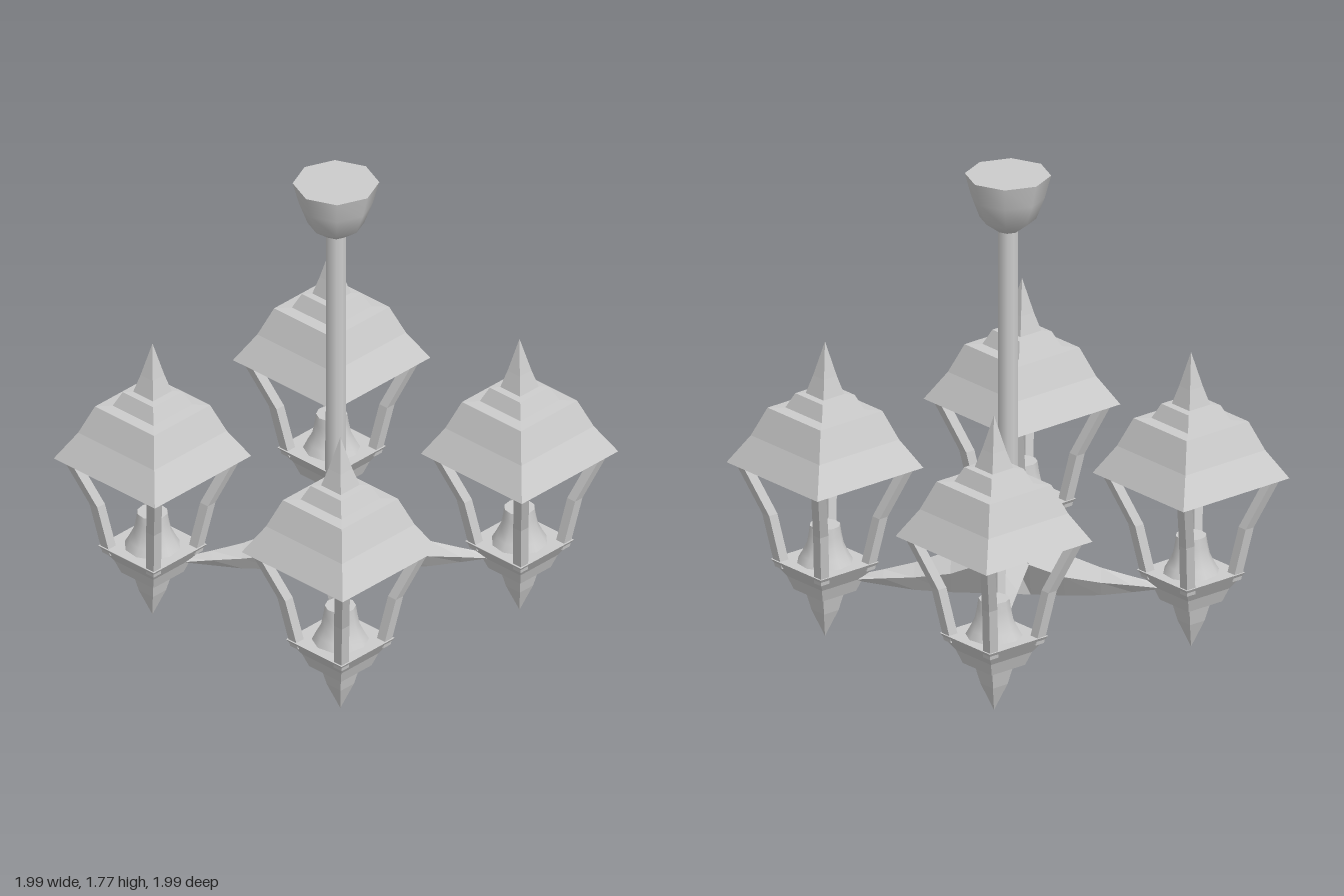
import * as THREE from 'three';
import { toCreasedNormals } from 'three/addons/utils/BufferGeometryUtils.js';

const flat = new THREE.MeshStandardMaterial({ color: 0xcccccc, flatShading: true });
const smooth = new THREE.MeshStandardMaterial({ color: 0xcccccc });

function named(geometry, name, material = flat) {
  const mesh = new THREE.Mesh(geometry, material);
  mesh.name = name;
  return mesh;
}

// Profile of [radius, y] pairs, listed from bottom to top
function turned(profile, sides) {
  return new THREE.LatheGeometry(profile.map(([r, y]) => new THREE.Vector2(r, y)), sides);
}

const rounded = (profile, sides) => toCreasedNormals(turned(profile, sides), 0.85);

// Diamond-section strut that leans outwards along +x, bent in the middle
function strutGeometry() {
  const path = [[0.15, 0.26], [0.195, 0.46], [0.3, 0.67]];
  const geo = new THREE.CylinderGeometry(0.027, 0.027, 2, 4, 2);
  const pos = geo.attributes.position;
  for (let i = 0; i < pos.count; i++) {
    const [x, y] = path[Math.round(pos.getY(i)) + 1];
    pos.setX(i, pos.getX(i) + x);
    pos.setY(i, y);
  }
  return geo;
}

// Tapering arm along +x; the four arms meet in a peaked hub
function armGeometry() {
  // distance from centre, ridge y, side edge y, half width, underside y
  const sections = [
    [0, 0.53, 0.35, 0, 0.18],
    [0.08, 0.435, 0.325, 0.08, 0.18],
    [0.2, 0.34, 0.27, 0.05, 0.18],
    [0.33, 0.29, 0.245, 0.032, 0.185],
    [0.44, 0.26, 0.235, 0.024, 0.2],
    [0.54, 0.235, 0.225, 0.018, 0.215],
  ];
  const points = [], index = [];
  for (const [x, top, side, w, low] of sections) {
    points.push(x, top, 0, x, side, w, x, low, 0, x, side, -w);
  }
  for (let s = 0; s < sections.length - 1; s++) {
    for (let k = 0; k < 4; k++) {
      const a = s * 4 + k, b = s * 4 + (k + 1) % 4;
      index.push(a, b, b + 4, a, b + 4, a + 4);
    }
  }
  const e = (sections.length - 1) * 4;
  index.push(e, e + 1, e + 2, e, e + 2, e + 3);
  const geo = new THREE.BufferGeometry();
  geo.setAttribute('position', new THREE.Float32BufferAttribute(points, 3));
  geo.setIndex(index);
  geo.computeVertexNormals();
  return geo;
}

function createLantern() {
  const lantern = new THREE.Group();
  lantern.name = 'lantern';
  // Flared roof with stepped cap and spire
  lantern.add(named(turned([
    [0, 0.65], [0.348, 0.65], [0.262, 0.755], [0.203, 0.862],
    [0.14, 0.865], [0.105, 0.92], [0.068, 0.922], [0.042, 0.99], [0, 1.12],
  ], 4), 'roof'));
  // Tray and hanging point
  lantern.add(named(turned([
    [0, 0.175], [0.11, 0.175], [0.135, 0.225], [0.192, 0.287], [0, 0.287],
  ], 4), 'tray'));
  lantern.add(named(turned([[0, 0], [0.048, 0.1], [0.072, 0.18], [0, 0.18]], 4), 'pendant'));
  // Bell-shaped lamp holder
  lantern.add(named(rounded([
    [0.105, 0.28], [0.085, 0.315], [0.068, 0.35], [0.06, 0.39], [0.055, 0.425], [0, 0.425],
  ], 10), 'lampHolder', smooth));
  const strut = strutGeometry();
  for (let i = 0; i < 4; i++) {
    const mesh = named(strut, 'strut');
    mesh.rotation.y = i * Math.PI / 2;
    lantern.add(mesh);
  }
  return lantern;
}

export function createModel() {
  const model = new THREE.Group();
  model.name = 'chandelier';

  // Central stem and ceiling cup
  const stem = new THREE.CylinderGeometry(0.037, 0.037, 1.15, 10, 1, true);
  stem.translate(0, 1.005, 0);
  model.add(named(stem, 'stem', smooth));
  model.add(named(rounded([
    [0, 1.565], [0.04, 1.565], [0.1, 1.61], [0.13, 1.69], [0.153, 1.775], [0, 1.775],
  ], 8), 'ceilingCup', smooth));

  // Four arms, each carrying a lantern
  const arm = armGeometry();
  for (let i = 0; i < 4; i++) {
    const branch = new THREE.Group();
    branch.name = 'branch';
    branch.add(named(arm, 'arm'));
    const lantern = createLantern();
    lantern.position.x = 0.647;
    branch.add(lantern);
    branch.rotation.y = i * Math.PI / 2;
    model.add(branch);
  }
  return model;
}
